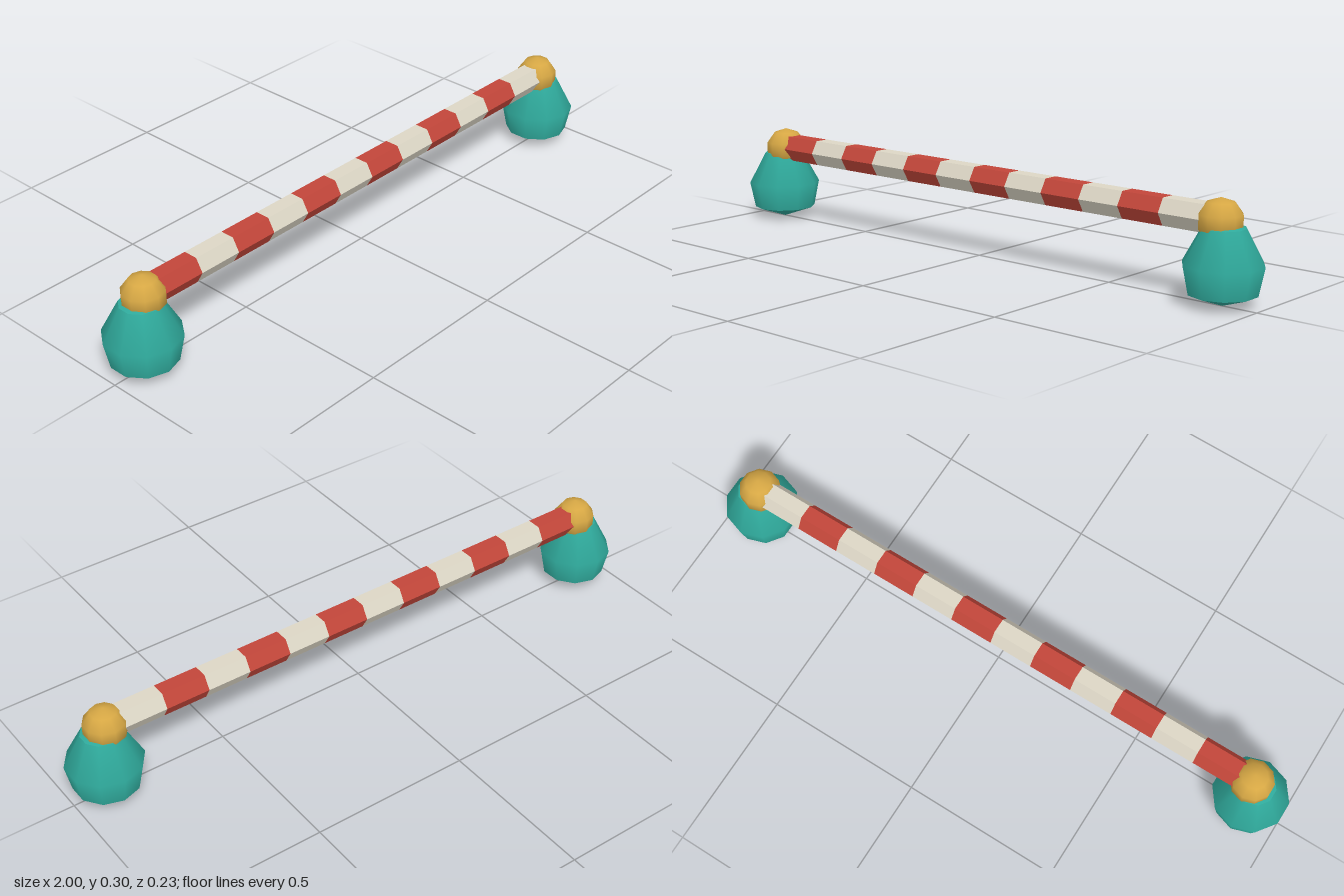
import * as THREE from 'three';

function material(name, color, flatShading = false) {
  const m = new THREE.MeshStandardMaterial({ color, flatShading });
  m.name = name;
  return m;
}

function addMesh(parent, name, geometry, mat) {
  const mesh = new THREE.Mesh(geometry, mat);
  mesh.name = name;
  parent.add(mesh);
  return mesh;
}

const lathe = (points) =>
  new THREE.LatheGeometry(points.map(([r, y]) => new THREE.Vector2(r, y)), 10);

export function createModel() {
  const teal = material('teal', 0x2fa99b);
  const gold = material('gold', 0xd6a744);
  const red = material('red', 0xc2463a, true);
  const cream = material('cream', 0xdcd6c5, true);

  const model = new THREE.Group();
  model.name = 'stripedBarrier';

  // Hexagonal pole made of twelve alternating bands, flat side up
  const pole = new THREE.Group();
  pole.name = 'pole';
  model.add(pole);
  const count = 12, length = 0.14;
  for (let i = 0; i < count; i++) {
    const atEnd = i === 0 || i === count - 1;
    const geometry = new THREE.CylinderGeometry(0.046, 0.046, length, 6, 1, !atEnd);
    geometry.rotateZ(Math.PI / 2);
    const band = addMesh(pole, i % 2 ? 'creamBand' : 'redBand', geometry, i % 2 ? cream : red);
    band.position.set((i - (count - 1) / 2) * length, 0.24, 0);
  }

  // A weighted foot and a round cap at each end
  for (const side of [-1, 1]) {
    const stand = new THREE.Group();
    stand.name = side > 0 ? 'leftStand' : 'rightStand';
    model.add(stand);

    // Tapered body, with the shallow underside kept as a separate crease
    const foot = new THREE.Group();
    foot.name = 'foot';
    foot.position.x = side * 0.889;
    stand.add(foot);
    addMesh(foot, 'footBody', lathe([[0.1, 0.035], [0.117, 0.118], [0.062, 0.22]]), teal);
    addMesh(foot, 'footTop', lathe([[0.062, 0.22], [0, 0.24]]), teal);
    addMesh(foot, 'footUnderside', lathe([[0, 0], [0.1, 0.035]]), teal);

    // Low-poly ball over the pole end
    const ball = new THREE.SphereGeometry(0.067, 10, 5);
    ball.rotateY(Math.PI / 2);
    addMesh(stand, 'endCap', ball, gold).position.set(side * 0.876, 0.235, 0);
  }

  return model;
}
